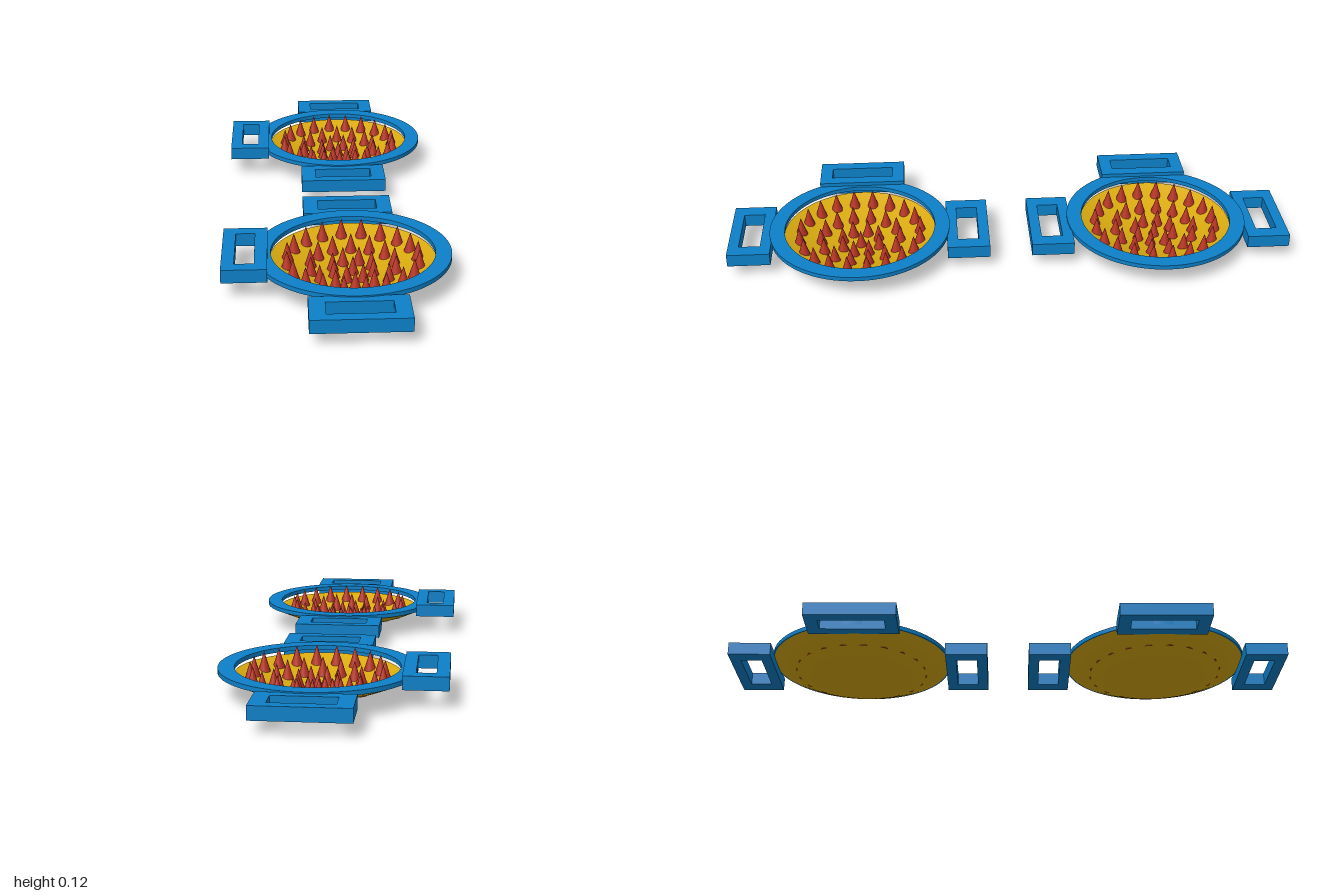
import * as THREE from 'three';

const blue = new THREE.MeshStandardMaterial({ color: 0x0d80c8 });
blue.name = 'blue plastic';
const gold = new THREE.MeshStandardMaterial({ color: 0xd9aa10 });
gold.name = 'gold pad';
const red = new THREE.MeshStandardMaterial({ color: 0xb53222 });
red.name = 'red spike';

const rad = THREE.MathUtils.degToRad;
const RIM = 0.355, RIM_INNER = 0.296, RIM_BOTTOM = 0.088, RIM_TOP = 0.105;
const dishHeight = r => RIM_BOTTOM * (r / 0.35) ** 2;

function add(parent, name, geometry, material) {
  const mesh = new THREE.Mesh(geometry, material);
  mesh.name = name;
  parent.add(mesh);
  return mesh;
}

function rectangle(Type, w, d) {
  const points = [[-w, -d], [w, -d], [w, d], [-w, d]];
  return new Type(points.map(([x, y]) => new THREE.Vector2(x / 2, y / 2)));
}

// Rectangular strap loop, set outward from the centre at an angle
function addLoop(parent, name, degrees, distance, y, size, hole) {
  const shape = rectangle(THREE.Shape, ...size);
  shape.holes.push(rectangle(THREE.Path, ...hole));
  const geometry = new THREE.ExtrudeGeometry(shape, { depth: 0.05, bevelEnabled: false });
  geometry.rotateX(-Math.PI / 2).translate(0, y, distance);
  add(parent, name, geometry, blue).rotation.y = rad(degrees);
}

function createPad(name, x, z) {
  const pad = new THREE.Group();
  pad.name = name;
  pad.position.set(x, 0, z);

  // Flat ring around the dish
  const rim = [[RIM_INNER, RIM_BOTTOM], [RIM, RIM_BOTTOM], [RIM, RIM_TOP], [RIM_INNER, RIM_TOP], [RIM_INNER, RIM_BOTTOM]];
  // Each edge is its own lathe so the corners stay sharp
  const ring = new THREE.Group();
  ring.name = 'rim';
  for (let i = 0; i < 4; i++) {
    const edge = [rim[i], rim[i + 1]].map(p => new THREE.Vector2(...p));
    add(ring, 'rimFace', new THREE.LatheGeometry(edge, 72), blue);
  }
  pad.add(ring);

  // Shallow dish: rounded underside and hollow upper face
  const outer = [], inner = [];
  for (let i = 0; i <= 14; i++) {
    const r = 0.35 * i / 14;
    outer.push(new THREE.Vector2(r, dishHeight(r)));
    const s = (RIM_INNER + 0.004) * (1 - i / 14);
    inner.push(new THREE.Vector2(s, dishHeight(s) + 0.012));
  }
  add(pad, 'dishUnderside', new THREE.LatheGeometry(outer, 72), gold);
  add(pad, 'dishInside', new THREE.LatheGeometry(inner, 72), gold);

  // Concentric circles of upright spikes
  const spikes = new THREE.Group();
  spikes.name = 'spikes';
  const spike = new THREE.ConeGeometry(0.023, 0.075, 20).translate(0, 0.0375, 0);
  for (const [count, r] of [[1, 0], [8, 0.077], [14, 0.157], [20, 0.24]]) {
    for (let i = 0; i < count; i++) {
      const a = rad(9.5) + i / count * Math.PI * 2;
      add(spikes, 'spike', spike, red)
        .position.set(Math.sin(a) * r, dishHeight(r) + 0.006, -Math.cos(a) * r);
    }
  }
  pad.add(spikes);

  // Two opposite end loops and one raised side loop
  for (const angle of [145, -35]) {
    addLoop(pad, 'endLoop', angle, 0.425, 0.05, [0.342, 0.165], [0.228, 0.082]);
  }
  addLoop(pad, 'sideLoop', -125, 0.388, 0.07, [0.348, 0.162], [0.25, 0.07]);
  return pad;
}

export function createModel() {
  const model = new THREE.Group();
  model.name = 'spikedStrapPads';
  model.add(createPad('backPad', 0.362, -0.485), createPad('frontPad', -0.315, 0.48));
  return model;
}
